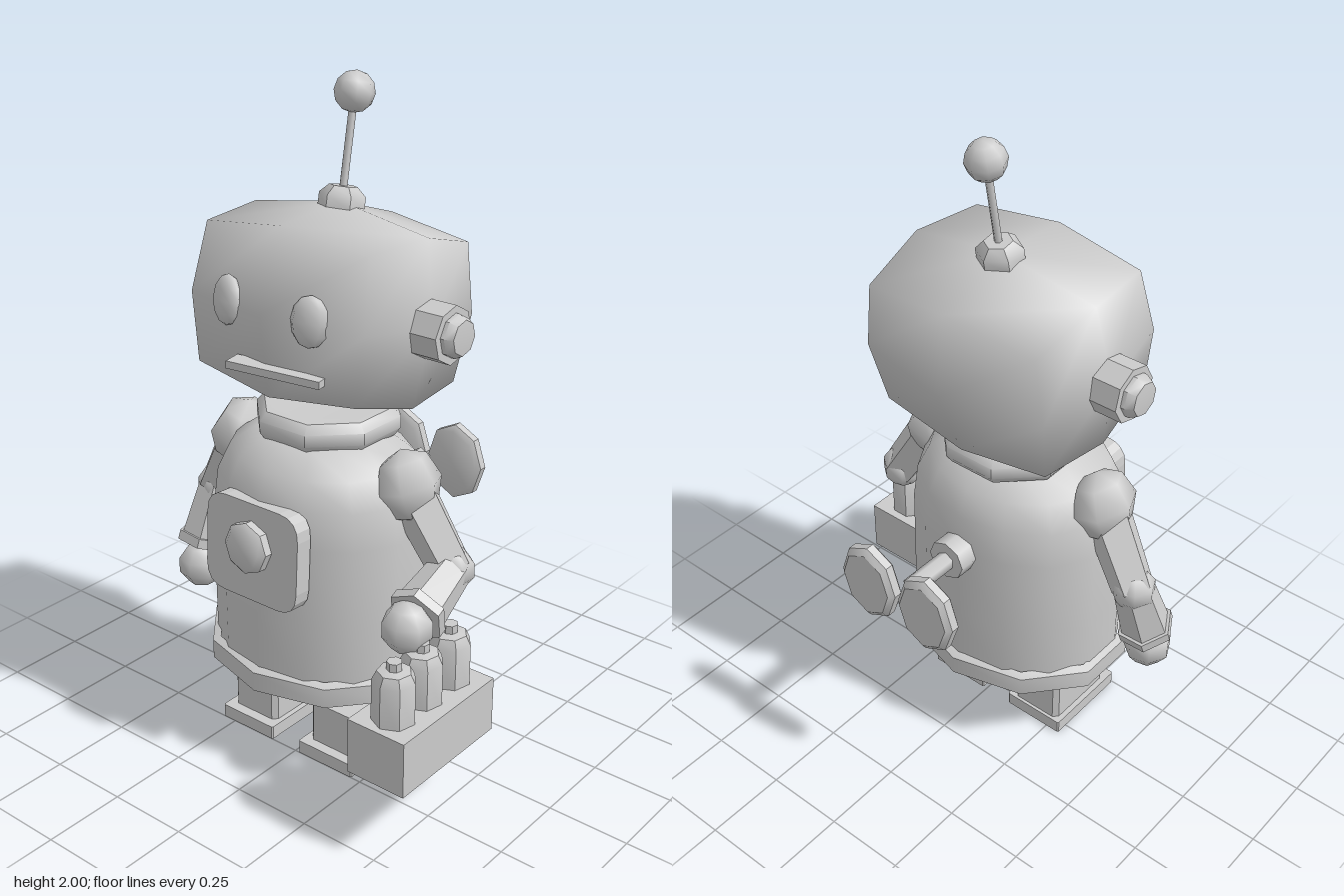
import * as THREE from 'three';
import { mergeVertices, toCreasedNormals } from 'three/addons/utils/BufferGeometryUtils.js';

const V = (x, y, z) => new THREE.Vector3(x, y, z);

export function createModel() {
  const model = new THREE.Group();
  model.name = 'toyRobot';
  const grey = new THREE.MeshStandardMaterial({ color: 0xcccccc });
  const CX = -0.04; // the robot's own centre line

  const add = (parent, name, geometry, x = 0, y = 0, z = 0) => {
    const mesh = new THREE.Mesh(geometry, grey);
    mesh.name = name;
    mesh.position.set(x, y, z);
    parent.add(mesh);
    return mesh;
  };
  const group = (name, x = 0, y = 0, z = 0) => {
    const g = new THREE.Group();
    g.name = name;
    g.position.set(x, y, z);
    model.add(g);
    return g;
  };
  // Turned shape from [radius, height] pairs, bottom to top
  const turned = (profile, sides, crease = 0.75) => toCreasedNormals(
    new THREE.LatheGeometry(profile.map(([r, y]) => new THREE.Vector2(r, y)), sides), crease);
  // Tapered limb between two points
  const limb = (parent, name, a, b, ra, rb, sides) => {
    const d = b.clone().sub(a);
    const geo = toCreasedNormals(new THREE.CylinderGeometry(rb, ra, d.length(), sides), 0.6);
    const mesh = add(parent, name, geo);
    mesh.position.copy(a).addScaledVector(d, 0.5);
    mesh.quaternion.setFromUnitVectors(V(0, 1, 0), d.normalize());
    return mesh;
  };
  const ball = (r, w = 7, h = 5) => new THREE.SphereGeometry(r, w, h);

  // Head: a cube of 2 x 2 panels swollen towards a sphere, tipped back
  const head = group('head', CX, 1.365, 0.02);
  head.rotation.x = -0.13;
  const half = [null, [0.35, 0.285, 0.305], [0.31, 0.237, 0.245], [0.285, 0.202, 0.225]];
  let skull = new THREE.BoxGeometry(2, 2, 2, 2, 2, 2);
  skull.deleteAttribute('normal');
  skull.deleteAttribute('uv');
  skull = mergeVertices(skull);
  const p = skull.attributes.position;
  for (let i = 0; i < p.count; i++) {
    const c = [p.getX(i), p.getY(i), p.getZ(i)];
    const size = half[c.filter((v) => Math.abs(v) > 0.5).length];
    p.setXYZ(i, ...c.map((v, k) => v * size[k]));
  }
  skull.computeVertexNormals();
  add(head, 'skull', skull);

  // Ears and eyes, one per side
  const earShape = turned([[0, 0], [0.083, 0], [0.083, 0.12], [0.062, 0.12], [0.062, 0.132], [0.05, 0.155], [0, 0.16]], 8);
  for (const s of [-1, 1]) {
    const ear = add(head, s > 0 ? 'leftEar' : 'rightEar', earShape, s * 0.3, -0.005, 0);
    ear.rotation.z = -s * Math.PI / 2;
    const eye = add(head, s > 0 ? 'leftEye' : 'rightEye', ball(1, 8, 6), s * 0.148, 0.01, 0.272);
    eye.scale.set(0.058, 0.072, 0.03);
    eye.rotation.y = s * 0.25;
  }

  // Crooked mouth slat
  const mouth = add(head, 'mouth', new THREE.BoxGeometry(0.29, 0.022, 0.06), 0.045, -0.15, 0.268);
  mouth.rotation.set(0.13, 0.19, -0.03);

  // Antenna
  const antenna = group('antenna', CX, 1.63, -0.02);
  antenna.rotation.x = -0.19;
  add(antenna, 'antennaBase', turned([[0, 0], [0.066, 0], [0.066, 0.035], [0.04, 0.06], [0, 0.06]], 6));
  add(antenna, 'antennaRod', new THREE.CylinderGeometry(0.011, 0.011, 0.25, 6), 0, 0.155, 0);
  add(antenna, 'antennaBall', ball(0.058, 8, 6), 0, 0.315, 0);

  // Body: oval barrel with a base ring and a collar
  const body = group('body', CX, 0, 0.07);
  body.scale.z = 0.845;
  add(body, 'barrel', turned([[0, 0.29], [0.343, 0.29], [0.343, 0.5], [0.34, 0.75], [0.325, 0.86],
    [0.285, 0.94], [0.2, 1.0], [0, 1.02]], 14, 1));
  add(body, 'baseRing', turned([[0, 0.265], [0.372, 0.265], [0.372, 0.325], [0.345, 0.335]], 10));
  const collar = group('collar', CX, 0, 0.04);
  add(collar, 'collarRing', turned([[0.2, 0.99], [0.218, 1.015], [0.218, 1.05], [0.195, 1.075], [0.15, 1.075], [0, 1.06]], 8))
    .rotation.y = Math.PI / 8;

  // Chest plate with a round button
  const chest = group('chestPlate', CX, 0.715, 0.325);
  chest.rotation.x = -0.06;
  const w = 0.17, h = 0.148, r = 0.07;
  const plate = new THREE.Shape();
  plate.moveTo(-w + r, -h);
  plate.lineTo(w - r, -h).quadraticCurveTo(w, -h, w, -h + r);
  plate.lineTo(w, h - r).quadraticCurveTo(w, h, w - r, h);
  plate.lineTo(-w + r, h).quadraticCurveTo(-w, h, -w, h - r);
  plate.lineTo(-w, -h + r).quadraticCurveTo(-w, -h, -w + r, -h);
  add(chest, 'plate', new THREE.ExtrudeGeometry(plate, { depth: 0.055, bevelEnabled: false, curveSegments: 4 }));
  add(chest, 'button', turned([[0.077, 0], [0.077, 0.025], [0.06, 0.04], [0, 0.042]], 8), 0, 0.02, 0.055)
    .rotation.x = Math.PI / 2;

  // Wind-up key on the back
  const key = group('windUpKey', CX, 0.737, 0);
  key.rotation.x = -Math.PI / 2; // local +y points backwards
  add(key, 'keyFlange', new THREE.CylinderGeometry(0.062, 0.062, 0.075, 8), 0, 0.228, 0);
  add(key, 'keyShaft', new THREE.CylinderGeometry(0.029, 0.029, 0.2, 6), 0, 0.318, 0);
  const wing = turned([[0, 0.437], [0.085, 0.437], [0.101, 0.45], [0.101, 0.475], [0.085, 0.489], [0, 0.489]], 8);
  for (const s of [-1, 1]) {
    add(key, 'keyWing', wing, s * 0.107, 0, 0).scale.z = 1.24;
  }

  // Legs and boots
  const block = (hw, z0, z1, y0, y1, c) => {
    const s = new THREE.Shape([[-hw + c, z0], [hw - c, z0], [hw, z0 + c], [hw, z1 - c], [hw - c, z1],
      [-hw + c, z1], [-hw, z1 - c], [-hw, z0 + c]].map(([x, z]) => new THREE.Vector2(x, -z)).reverse());
    return new THREE.ExtrudeGeometry(s, { depth: y1 - y0, bevelEnabled: false })
      .rotateX(-Math.PI / 2).translate(0, y0, 0);
  };
  for (const s of [-1, 1]) {
    const leg = group(s > 0 ? 'leftLeg' : 'rightLeg', CX + s * 0.155, 0, 0);
    add(leg, 'sole', block(0.102, -0.04, 0.25, 0, 0.042, 0.004));
    add(leg, 'boot', block(0.085, -0.03, 0.217, 0.04, 0.177, 0.015));
    add(leg, 'shin', turned([[0.065, 0.16], [0.065, 0.197], [0.086, 0.197], [0.086, 0.3]], 8), 0, 0, 0.067)
      .rotation.y = Math.PI / 8;
  }

  // Arms: the right one hangs, the left one reaches forward with the crate
  const arms = [
    { name: 'rightArm', s: -1, wrist: V(-0.507, 0.485, 0.1), hand: V(-0.505, 0.418, 0.115) },
    { name: 'leftArm', s: 1, wrist: V(0.43, 0.617, 0.235), hand: V(0.432, 0.605, 0.275) },
  ];
  for (const { name, s, wrist, hand } of arms) {
    const arm = group(name);
    const shoulder = V(CX + s * 0.315, 0.905, 0.065);
    const elbow = V(CX + s * 0.45, 0.68, 0.04);
    add(arm, 'shoulder', ball(0.108, 6, 4)).position.copy(shoulder);
    arm.children[0].scale.x = 0.85;
    arm.children[0].rotation.z = s * 0.3;
    limb(arm, 'upperArm', shoulder, elbow, 0.075, 0.066, 5);
    add(arm, 'elbow', ball(0.068, 7, 5)).position.copy(elbow);
    limb(arm, 'forearm', elbow, wrist, 0.062, 0.078, 6);
    const back = wrist.clone().lerp(elbow, 0.15);
    limb(arm, 'cuff', back, wrist, 0.086, 0.086, 6);
    add(arm, 'hand', ball(0.075, 7, 5)).position.copy(hand);
  }

  // Crate with three bottles
  const crate = group('bottleCrate', 0.488, 0, 0);
  add(crate, 'crate', new THREE.BoxGeometry(0.19, 0.168, 0.415), 0, 0.318, 0.275);
  const bottle = turned([[0.062, 0.38], [0.062, 0.525], [0.048, 0.553], [0.022, 0.558], [0.022, 0.582], [0, 0.582]], 7);
  for (const z of [0.15, 0.28, 0.402]) add(crate, 'bottle', bottle, 0, 0, z);

  return model;
}
